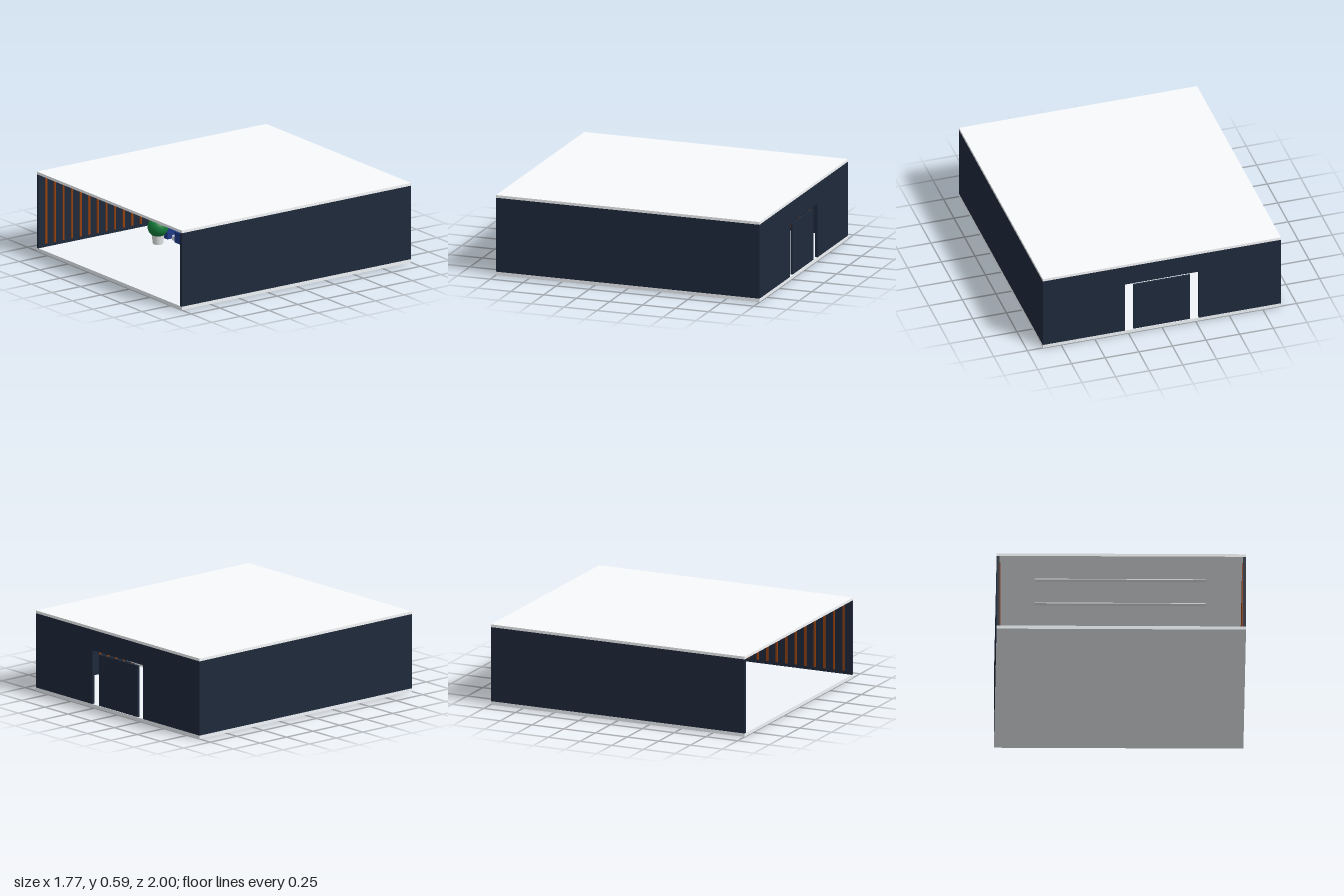
import * as THREE from 'three';

const mat = (color) => new THREE.MeshStandardMaterial({ color });
const wallMat = mat(0x1e293b), floorMat = mat(0xf1f5f9), roofMat = mat(0xf8fafc);
const woodMat = mat(0x92400e), blueMat = mat(0x1e3a8a), whiteMat = mat(0xe8eaec);
const screenMat = mat(0x38bdf8), topMat = mat(0xcbd5e1), signMat = mat(0x0f172a);

export function createModel() {
  const model = new THREE.Group();

  const add = (name, geometry, material, x, y, z, parent = model) => {
    const mesh = new THREE.Mesh(geometry, material);
    mesh.name = name;
    mesh.position.set(x, y, z);
    parent.add(mesh);
    return mesh;
  };
  // box given by its extents on each axis
  const box = (name, material, [x0, x1], [y0, y1], [z0, z1], parent) =>
    add(name, new THREE.BoxGeometry(x1 - x0, y1 - y0, z1 - z0), material,
      (x0 + x1) / 2, (y0 + y1) / 2, (z0 + z1) / 2, parent);
  const group = (name) => {
    const g = new THREE.Group();
    g.name = name;
    model.add(g);
    return g;
  };

  // shell
  box('floor', floorMat, [-0.885, 0.885], [0, 0.025], [-1, 1]);
  box('roof', roofMat, [-0.885, 0.885], [0.57, 0.59], [-1, 1]);
  for (const s of [-1, 1]) {
    add(s > 0 ? 'leftWall' : 'rightWall', new THREE.BoxGeometry(0.02, 0.545, 2), wallMat, s * 0.875, 0.2975, 0);
  }

  // back wall with a doorway down to the floor
  const outline = new THREE.Shape([
    [-0.865, 0.025], [-0.275, 0.025], [-0.275, 0.42], [0.275, 0.42],
    [0.275, 0.025], [0.865, 0.025], [0.865, 0.57], [-0.865, 0.57],
  ].map(([x, y]) => new THREE.Vector2(x, y)));
  add('backWall', new THREE.ExtrudeGeometry(outline, { depth: 0.02, bevelEnabled: false }), wallMat, 0, 0, -1);
  box('doorPanel', wallMat, [-0.21, 0.21], [0.025, 0.4], [-0.995, -0.98]);

  // wooden slats along both side walls
  const slats = group('wallSlats');
  for (const s of [-1, 1]) {
    for (let i = 0; i < 26; i++) {
      add('slat', new THREE.BoxGeometry(0.008, 0.5, 0.015), woodMat, s * 0.862, 0.3, -0.94 + i * 0.075, slats);
    }
  }

  // ceiling lights
  const lights = group('ceilingLights');
  for (const z of [-0.6, -0.2, 0.2, 0.6]) {
    box('ceilingLight', whiteMat, [-0.61, 0.605], [0.564, 0.57], [z - 0.02, z + 0.02], lights);
  }

  // reception desk with two screens
  const desk = group('receptionDesk');
  box('deskBody', woodMat, [-0.235, 0.23], [0.025, 0.14], [-0.22, -0.03], desk);
  box('deskTop', topMat, [-0.25, 0.245], [0.14, 0.151], [-0.235, -0.015], desk);
  for (const x of [-0.125, 0.12]) {
    box('screen', screenMat, [x - 0.025, x + 0.025], [0.151, 0.19], [-0.13, -0.12], desk);
  }

  // illuminated sign above the doorway
  const sign = group('sign');
  box('signBoard', signMat, [-0.167, 0.163], [0.42, 0.47], [-0.88, -0.85], sign);
  box('signLight', mat(0x7dc8d4), [-0.15, 0.145], [0.436, 0.455], [-0.855, -0.846], sign);

  // waiting area
  const seats = group('waitingSeats');
  for (const x of [-0.565, -0.37]) {
    box('seat', blueMat, [x - 0.055, x + 0.055], [0.025, 0.105], [0.02, 0.13], seats);
  }
  add('sideTable', new THREE.CylinderGeometry(0.032, 0.032, 0.03, 24), topMat, -0.467, 0.04, 0.08);

  // potted plant
  const plant = group('plant');
  add('pot', new THREE.CylinderGeometry(0.046, 0.037, 0.07, 24), whiteMat, -0.47, 0.06, 0.24, plant);
  add('foliage', new THREE.SphereGeometry(0.075, 32, 20), mat(0x15803d), -0.47, 0.15, 0.24, plant);

  // staircase rising towards the back
  const stairs = group('staircase');
  const steps = 15, rise = 0.275 / steps, run = 0.036;
  for (let i = 0; i < steps; i++) {
    const z = -0.05 - i * run, y = 0.025 + i * rise;
    box('step', whiteMat, [0.445, 0.7], [y, y + rise], [z - run, z], stairs);
  }

  // thin guard panel beside the stairs
  const guard = new THREE.Shape([
    [0.05, 0.025], [0.05, 0.125], [0.59, 0.4], [0.59, 0.3],
  ].map(([x, y]) => new THREE.Vector2(x, y)));
  const rail = add('stairGuard', new THREE.ExtrudeGeometry(guard, { depth: 0.004, bevelEnabled: false }),
    mat(0x2c4a4a), 0.441, 0, 0, stairs);
  rail.rotation.y = Math.PI / 2;

  return model;
}
